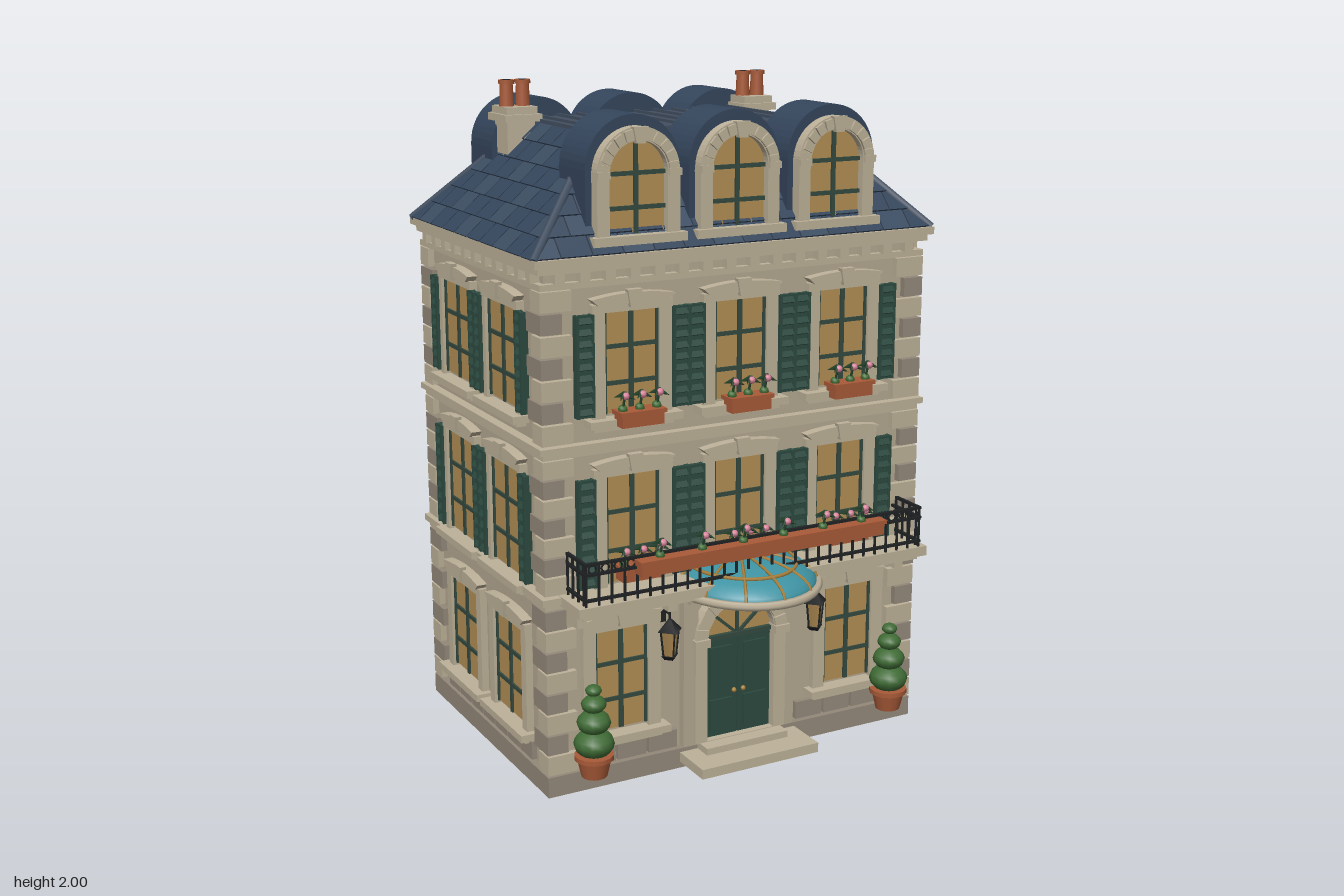
import * as THREE from 'three';
import { mergeGeometries } from 'three/addons/utils/BufferGeometryUtils.js';

const mat = (color, side = THREE.FrontSide) => new THREE.MeshStandardMaterial({ color, side });
const M = {
  wall: mat(0xb3a790), stone: mat(0xbdb199), dark: mat(0x94897a), glass: mat(0xb38e55), green: mat(0x2c4a40),
  bar: mat(0x33493f), slate: mat(0x34455b), slate2: mat(0x3b4d62), under: mat(0x232e3d), metal: mat(0x435062),
  terra: mat(0xa85a38), black: mat(0x1f2224), gold: mat(0xa8803c), teal: mat(0x3f93a3, THREE.DoubleSide),
  leaf: mat(0x3f6b35), leafDark: mat(0x27472e), pink: mat(0xd9829a),
};
const HX = 0.61, HZ = 0.43, CZ = -0.07; // wall half sizes and depth centre

// Geometry helpers
const box = (w, h, d, x = 0, y = 0, z = 0) => new THREE.BoxGeometry(w, h, d).translate(x, y, z);
const cyl = (rt, rb, h, n, x = 0, y = 0, z = 0) => new THREE.CylinderGeometry(rt, rb, h, n).translate(x, y, z);
const ball = (r, x, y, z) => new THREE.SphereGeometry(r, 8, 6).translate(x, y, z);
const v = (x, y, z) => new THREE.Vector3(x, y, z);
const rod = (a, b, r) => new THREE.TubeGeometry(new THREE.LineCurve3(a, b), 1, r, 6);
const extrude = (shape, depth, z = 0) =>
  new THREE.ExtrudeGeometry(shape, { depth, bevelEnabled: false, curveSegments: 12 }).translate(0, 0, z);
const range = (n, f) => Array.from({ length: n }, (_, i) => f(i));
function add(parent, name, material, ...geos) {
  const flat = geos.flat().map((g) => {
    const n = g.index ? g.toNonIndexed() : g;
    n.deleteAttribute('uv');
    return n;
  });
  const mesh = new THREE.Mesh(mergeGeometries(flat), material);
  mesh.name = name;
  parent.add(mesh);
  return mesh;
}
function group(parent, name, x = 0, y = 0, z = 0, ry = 0) {
  const g = new THREE.Group();
  g.name = name;
  g.position.set(x, y, z);
  g.rotation.y = ry;
  parent.add(g);
  return g;
}
const arch = (r, y0, yc) => new THREE.Shape().moveTo(-r, y0).lineTo(r, y0).lineTo(r, yc).absarc(0, yc, r, 0, Math.PI, false);
function archRing(ro, ri, y0, yc) {
  const s = arch(ro, y0, yc);
  s.holes.push(arch(ri, y0 + 0.003, yc));
  return s;
}
const voussoirs = (r, yc, n, w, h, d, z) => range(n, (i) => {
  const a = Math.PI * (i + 0.5) / n;
  return box(w, h, d).rotateZ(a - Math.PI / 2).translate(Math.cos(a) * r, yc + Math.sin(a) * r, z);
});
const keystone = (y, h, z) => extrude(new THREE.Shape().moveTo(-0.014, y).lineTo(0.014, y).lineTo(0.023, y + h).lineTo(-0.023, y + h), 0.02, z);

function planter(parent, x, y, z, w, n) {
  const g = group(parent, 'flowerBox', x, y, z);
  add(g, 'trough', M.terra, box(w, 0.035, 0.05, 0, 0.018, 0), box(w + 0.012, 0.012, 0.062, 0, 0.04, 0));
  const xs = range(n, (i) => ((i + 0.5) / n - 0.5) * (w - (n > 3 ? 0 : -0.03)));
  add(g, 'stems', M.leafDark, xs.map((p) => [rod(v(p, 0.04, 0), v(p, 0.09, 0.015), 0.004),
    range(4, (k) => new THREE.ConeGeometry(0.01, 0.035, 4).rotateZ(1.9).translate(-0.016, 0, 0)
      .rotateY(k * Math.PI / 2 + 0.7).translate(p, 0.09, 0.015))]).flat(2));
  add(g, 'blooms', M.pink, xs.map((p) => ball(0.011, p, 0.092, 0.022)));
  add(g, 'leaves', M.leaf, xs.map((p) => ball(0.014, p, 0.05, 0.002)));
}

function windowUnit(face, x, y, w, h, fw, shutter = 0, offset = 0) {
  const g = group(face, 'window', x, y, 0), W = w + 2 * fw;
  add(g, 'glass', M.glass, box(w, h, 0.006, 0, h / 2, 0.004));
  add(g, 'glazingBars', M.bar, box(0.014, h, 0.012, 0, h / 2, 0.007),
    [0.3, 0.66].map((t) => box(w, 0.012, 0.012, 0, h * t, 0.007)),
    [-1, 1].map((s) => box(0.008, h, 0.012, s * (w / 2 - 0.004), h / 2, 0.007)));
  const hood = new THREE.Shape().moveTo(-W / 2 + 0.015, h + 0.022).lineTo(W / 2 - 0.015, h + 0.022)
    .lineTo(W / 2 + 0.005, h + 0.04).quadraticCurveTo(0, h + 0.065, -W / 2 - 0.005, h + 0.04);
  add(g, 'surround', M.stone, [-1, 1].map((s) => box(fw, h + 0.02, 0.022, s * (w + fw) / 2, h / 2, 0.011)),
    box(W, 0.024, 0.024, 0, h + 0.012, 0.012), extrude(hood, 0.032), keystone(h + 0.012, 0.05, 0.02),
    box(W + 0.04, 0.022, 0.05, 0, -0.02, 0.025), box(W, 0.016, 0.03, 0, -0.037, 0.015));
  if (!shutter) return;
  for (const s of [-1, 1]) {
    const p = group(g, 'shutter', s * offset, h / 2, 0.02);
    add(p, 'leaf', M.green, box(shutter, h, 0.014),
      [-1, 1].map((e) => box(0.009, h, 0.024, e * (shutter / 2 - 0.0045), 0, 0)),
      range(9, (i) => box(shutter - 0.014, 0.018, 0.008).rotateX(-0.45).translate(0, ((i + 0.5) / 9 - 0.5) * h, 0.008)));
  }
}

function doorway(face, x, r, yc, panel) {
  const g = group(face, 'doorway', x), y0 = 0.07, h = yc - y0, o = r + 0.04;
  add(g, 'doorSurround', M.stone, extrude(archRing(o, r, y0, yc), 0.035), keystone(yc + r - 0.005, 0.06, 0.03),
    voussoirs(r + 0.022, yc, 9, 0.035, 0.04, 0.012, 0.036), [-1, 1].map((s) => box(0.05, 0.025, 0.05, s * (r + 0.022), yc, 0.025)));
  if (panel) add(g, 'portal', M.wall, [-1, 1].map((s) => box(0.05, 0.49, 0.025, s * 0.165, 0.31, 0.0125)), box(0.37, 0.03, 0.06, 0, 0.54, 0.03));
  add(g, 'fanlight', M.glass, extrude(arch(r, yc - 0.001, yc), 0.006));
  add(g, 'fanBars', M.bar, range(3, (i) => box(0.009, r, 0.012, 0, r / 2, 0).rotateZ((i - 1) * 0.85).translate(0, yc, 0.008)),
    box(2 * r, 0.014, 0.02, 0, yc, 0.01));
  add(g, 'doorLeaves', M.green, [-1, 1].map((s) => [box(r - 0.003, h, 0.012, s * r / 2, y0 + h / 2, 0.006),
    box(r * 0.66, h * 0.32, 0.012, s * r / 2, y0 + h * 0.22, 0.013),
    box(r * 0.66, h * 0.45, 0.012, s * r / 2, y0 + h * 0.68, 0.013)]).flat());
  if (!panel) add(g, 'doorPanes', M.glass, [-1, 1].map((s) => box(r * 0.5, h * 0.38, 0.012, s * r / 2, y0 + h * 0.68, 0.015)));
  add(g, 'doorKnobs', M.gold, [-1, 1].map((s) => ball(0.008, s * 0.016, y0 + h * 0.45, 0.022)));
}

function dormer(parent, x) {
  const g = group(parent, 'dormer', x);
  add(g, 'dormerRoof', M.slate, extrude(arch(0.147, 1.6, 1.797), 0.165, 0.24));
  add(g, 'dormerFrame', M.stone, extrude(archRing(0.128, 0.09, 1.61, 1.785), 0.035, 0.405),
    voussoirs(0.108, 1.785, 11, 0.026, 0.03, 0.012, 0.442), keystone(1.868, 0.045, 0.435),
    box(0.29, 0.025, 0.06, 0, 1.605, 0.425), [-1, 1].map((s) => box(0.038, 0.02, 0.05, s * 0.11, 1.785, 0.425)));
  add(g, 'dormerGlass', M.glass, extrude(arch(0.09, 1.612, 1.785), 0.006, 0.41));
  add(g, 'dormerBars', M.bar, box(0.012, 0.26, 0.012, 0, 1.745, 0.418), [1.69, 1.785].map((y) => box(0.18, 0.012, 0.012, 0, y, 0.418)));
}

function lantern(face, x) {
  const g = group(face, 'lantern', x, 0.44, 0.05);
  add(g, 'lanternIron', M.black, rod(v(0, 0.07, -0.05), v(0, 0.07, 0), 0.005), rod(v(0, 0.075, 0), v(0, 0.03, 0), 0.004),
    cyl(0.006, 0.04, 0.035, 4, 0, 0.035, 0), cyl(0.028, 0.018, 0.012, 4, 0, -0.065, 0), box(0.02, 0.06, 0.01, 0, 0.06, -0.046),
    range(4, (i) => rod(v(0.03, 0.02, 0), v(0.021, -0.06, 0), 0.003).rotateY(i * Math.PI / 2)));
  add(g, 'lanternGlass', M.glass, cyl(0.028, 0.019, 0.08, 4, 0, -0.02, 0));
}

function topiary(parent, x) {
  const g = group(parent, 'topiary', x, 0.07, 0.505);
  add(g, 'pot', M.terra, cyl(0.052, 0.038, 0.06, 14, 0, 0.03, 0), cyl(0.058, 0.058, 0.014, 14, 0, 0.06, 0));
  add(g, 'bush', M.leaf, [[0.06, 0.1], [0.05, 0.165], [0.037, 0.22], [0.024, 0.262]].map(([r, y]) =>
    new THREE.SphereGeometry(r, 12, 8).scale(1, 0.7, 1).translate(0, y, 0)));
}

// Overlapping slates on the four hipped slopes
function hippedRoof(parent) {
  const A = [0.65, 0.458], B = [0.35, 0.2125], Y0 = 1.57, Y1 = 1.875, rows = 6;
  const g = group(parent, 'roof'), core = box(1, 1, 1), p = core.attributes.position;
  for (let i = 0; i < p.count; i++) {
    const e = p.getY(i) > 0 ? B : A;
    p.setXYZ(i, Math.sign(p.getX(i)) * e[0], p.getY(i) > 0 ? Y1 : Y0, Math.sign(p.getZ(i)) * e[1]);
  }
  core.computeVertexNormals();
  add(g, 'roofCore', M.under, core);
  const tones = [[], []];
  for (let k = 0; k < 4; k++) {
    const a = k % 2, mix = (i, t) => A[i] + (B[i] - A[i]) * t;
    const P = (u, t, l) => [THREE.MathUtils.clamp(u, -mix(a, t), mix(a, t)), Y0 + (Y1 - Y0) * t + l, mix(1 - a, t) + l];
    for (let r = 0; r < rows; r++) for (let i = -8; i < 8; i++) {
      const u0 = (i + (r % 2) / 2) * 0.095 + 0.002, u1 = u0 + 0.091, t0 = r / rows, t1 = (r + 1) / rows;
      if (u0 >= mix(a, t0) || u1 <= -mix(a, t0)) continue;
      const q = [P(u0, t0, 0.006), P(u1, t0, 0.006), P(u1, t1, 0.002), P(u0, t1, 0.002)], lo = [P(u0, t0, 0), P(u1, t0, 0)];
      const tri = [q[0], q[1], q[2], q[0], q[2], q[3], lo[0], lo[1], q[1], lo[0], q[1], q[0]];
      const geo = new THREE.BufferGeometry().setAttribute('position', new THREE.Float32BufferAttribute(tri.flat(), 3));
      geo.computeVertexNormals();
      tones[(i * 7 + r * 5 + k + 70) % 3 ? 0 : 1].push(geo.rotateY(k * Math.PI / 2));
    }
  }
  add(g, 'slates', M.slate, tones[0]);
  add(g, 'paleSlates', M.slate2, tones[1]);
  add(g, 'hipRolls', M.metal, [-1, 1].flatMap((s) => [-1, 1].map((t) => rod(v(s * A[0], Y0, t * A[1]), v(s * B[0], Y1, t * B[1]), 0.013))));
  add(g, 'flatRoof', M.metal, box(0.71, 0.015, 0.435, 0, Y1 + 0.003, 0), range(11, (i) => box(0.008, 0.014, 0.425, (i - 5) * 0.066, Y1 + 0.012, 0)));
}

export function createModel() {
  const root = new THREE.Group();
  root.name = 'townHouse';
  const house = group(root, 'house', 0, 0, CZ);

  // Walls, bands and cornice
  const ring = (y, h, o) => box(2 * (HX + o), h, 2 * (HZ + o), 0, y + h / 2, 0);
  add(house, 'walls', M.wall, ring(0.05, 1.5, 0));
  add(house, 'base', M.dark, ring(0, 0.062, 0.02));
  add(house, 'bands', M.stone, ring(0.572, 0.02, 0.02), ring(0.59, 0.02, 0.032), ring(1.01, 0.02, 0.018), ring(1.028, 0.018, 0.03));
  add(house, 'cornice', M.stone, ring(1.485, 0.018, 0.02), ring(1.53, 0.022, 0.028), ring(1.55, 0.022, 0.042));

  // Corner quoins in alternating lengths
  const quoins = [[], []];
  for (const sx of [-1, 1]) for (const sz of [-1, 1])
    for (const [y0, y1, n] of [[0.065, 0.57, 8], [0.612, 1.01, 7], [1.048, 1.485, 7]]) range(n, (i) => {
      const h = (y1 - y0) / n, w = i % 2 ? 0.065 : 0.095, d = i % 2 ? 0.095 : 0.065;
      quoins[i % 2].push(box(w, h - 0.006, d, sx * (HX + 0.02 - w / 2), y0 + h * (i + 0.5), sz * (HZ + 0.02 - d / 2)));
    });
  add(house, 'quoins', M.stone, quoins[0]);
  add(house, 'darkQuoins', M.dark, quoins[1]);

  // Four faces, each built facing +z
  const faces = ['front', 'right', 'back', 'left'].map((n, k) => {
    const a = k * Math.PI / 2, d = k % 2 ? HX : HZ, half = k % 2 ? HZ : HX, door = { 0: [0, 0.19], 2: [0.32, 0.14] }[k];
    const f = group(house, n + 'Face', Math.sin(a) * d, 0, Math.cos(a) * d, a);
    const cnt = Math.round(2 * half / 0.078);
    add(f, 'modillions', M.stone, range(cnt, (i) => box(0.03, 0.03, 0.03, ((i + 0.5) / cnt - 0.5) * 2 * half, 1.516, 0.013)));
    const m = Math.round(2 * half / 0.12), bw = 2 * (half - 0.1) / m;
    add(f, 'plinthBlocks', M.dark, range(m, (i) => (i + 0.5 - m / 2) * bw).filter((x) => !door || Math.abs(x - door[0]) > door[1])
      .map((x) => box(bw - 0.008, 0.055, 0.016, x, 0.097, 0.008)));
    return f;
  });
  for (const k of [0, 2]) for (const x of [-0.35, 0, 0.35]) {
    windowUnit(faces[k], x, 0.62, 0.17, 0.32, 0.04, 0.055, 0.15);
    windowUnit(faces[k], x, 1.12, 0.17, 0.29, 0.04, 0.055, 0.15);
    planter(faces[k], x, 1.092, 0.06, 0.13, 3);
    if (!k) planter(faces[k], x, 0.64, 0.06, 0.13, 3);
  }
  for (const k of [1, 3]) for (const x of [-0.17, 0.17]) {
    windowUnit(faces[k], x, 0.16, 0.207, 0.3, 0.034);
    windowUnit(faces[k], x, 0.62, 0.207, 0.32, 0.025, 0.045, 0.148);
    windowUnit(faces[k], x, 1.12, 0.207, 0.29, 0.025, 0.045, 0.148);
  }
  for (const [k, x] of [[0, -0.39], [0, 0.39], [2, -0.35], [2, 0]]) windowUnit(faces[k], x, 0.17, 0.17, 0.31, 0.04);
  doorway(faces[0], 0, 0.115, 0.39, true);
  doorway(faces[2], 0.32, 0.085, 0.33, false);
  for (const x of [-0.25, 0.25]) lantern(faces[0], x);
  for (const x of [-0.51, 0.51]) topiary(house, x);
  add(faces[0], 'frontSteps', M.stone, box(0.4, 0.03, 0.16, 0, 0.035, 0.08), box(0.28, 0.022, 0.08, 0, 0.06, 0.04));
  add(faces[2], 'backSteps', M.stone, box(0.32, 0.03, 0.155, 0.32, 0.035, 0.0775), box(0.24, 0.022, 0.09, 0.32, 0.06, 0.045));

  // Balcony with iron railing
  const balcony = group(faces[0], 'balcony');
  add(balcony, 'balconySlab', M.stone, box(1.17, 0.03, 0.15, 0, 0.597, 0.075), box(1.13, 0.015, 0.13, 0, 0.575, 0.065),
    [-0.54, -0.25, 0.25, 0.54].map((x) => box(0.03, 0.05, 0.07, x, 0.548, 0.035)));
  const rails = [0.63, 0.705, 0.735].flatMap((y) => [box(1.13, 0.008, 0.01, 0, y, 0.14), [-1, 1].map((s) => box(0.01, 0.008, 0.14, s * 0.56, y, 0.07))]).flat();
  add(balcony, 'railing', M.black, rails, range(29, (i) => box(0.006, 0.125, 0.006, (i - 14) * 0.04, 0.673, 0.14)),
    range(28, (i) => new THREE.TorusGeometry(0.012, 0.003, 4, 10).translate((i - 13.5) * 0.04, 0.72, 0.14)),
    [-1, 1].flatMap((s) => range(4, (i) => box(0.006, 0.125, 0.006, s * 0.56, 0.673, 0.02 + i * 0.035))));
  planter(balcony, 0, 0.685, 0.155, 0.81, 6);

  // Glazed canopy over the door
  const canopy = group(faces[0], 'canopy', 0, 0.575, 0.022);
  const oval = (g) => g.scale(0.218, 0.075, 0.258);
  add(canopy, 'canopyGlass', M.teal, oval(new THREE.SphereGeometry(1, 24, 8, 0, Math.PI, 0, Math.PI / 2)));
  const ribs = range(7, (i) => {
    const a = Math.PI * i / 6, pts = range(9, (j) => {
      const t = j / 8 * Math.PI / 2;
      return v(Math.cos(a) * Math.sin(t) * 0.219, Math.cos(t) * 0.077, Math.sin(a) * Math.sin(t) * 0.26);
    });
    return new THREE.TubeGeometry(new THREE.CatmullRomCurve3(pts), 12, 0.005, 5);
  });
  const hoop = (r, y, t) => new THREE.TorusGeometry(r, t, 6, 24, Math.PI).rotateX(Math.PI / 2).scale(0.222, 0.26, 0.262).translate(0, y, 0);
  add(canopy, 'canopyRibs', M.gold, ribs, hoop(0.72, 0.053, 0.022));
  add(canopy, 'canopyRim', M.stone, hoop(1, -0.004, 0.05), box(0.5, 0.025, 0.05, 0, -0.005, 0));

  // Roof, dormers and chimneys
  hippedRoof(house);
  for (const a of [0, Math.PI]) {
    const side = group(house, 'dormerRow', 0, 0, 0, a);
    for (const x of [-0.322, 0, 0.322]) dormer(side, x);
  }
  for (const s of [-1, 1]) {
    const c = group(house, 'chimney', s * 0.407, 0, -0.205);
    add(c, 'stack', M.stone, box(0.09, 0.25, 0.092, 0, 1.77, 0), box(0.118, 0.022, 0.135, 0, 1.89, 0), box(0.1, 0.025, 0.11, 0, 1.91, 0));
    add(c, 'chimneyPots', M.terra, [-0.026, 0.026].flatMap((x) => [cyl(0.019, 0.023, 0.08, 12, x, 1.955, 0), cyl(0.024, 0.024, 0.012, 12, x, 1.994, 0)]));
    add(c, 'flues', M.black, [-0.026, 0.026].map((x) => cyl(0.014, 0.014, 0.01, 12, x, 1.9955, 0)));
  }
  return root;
}
